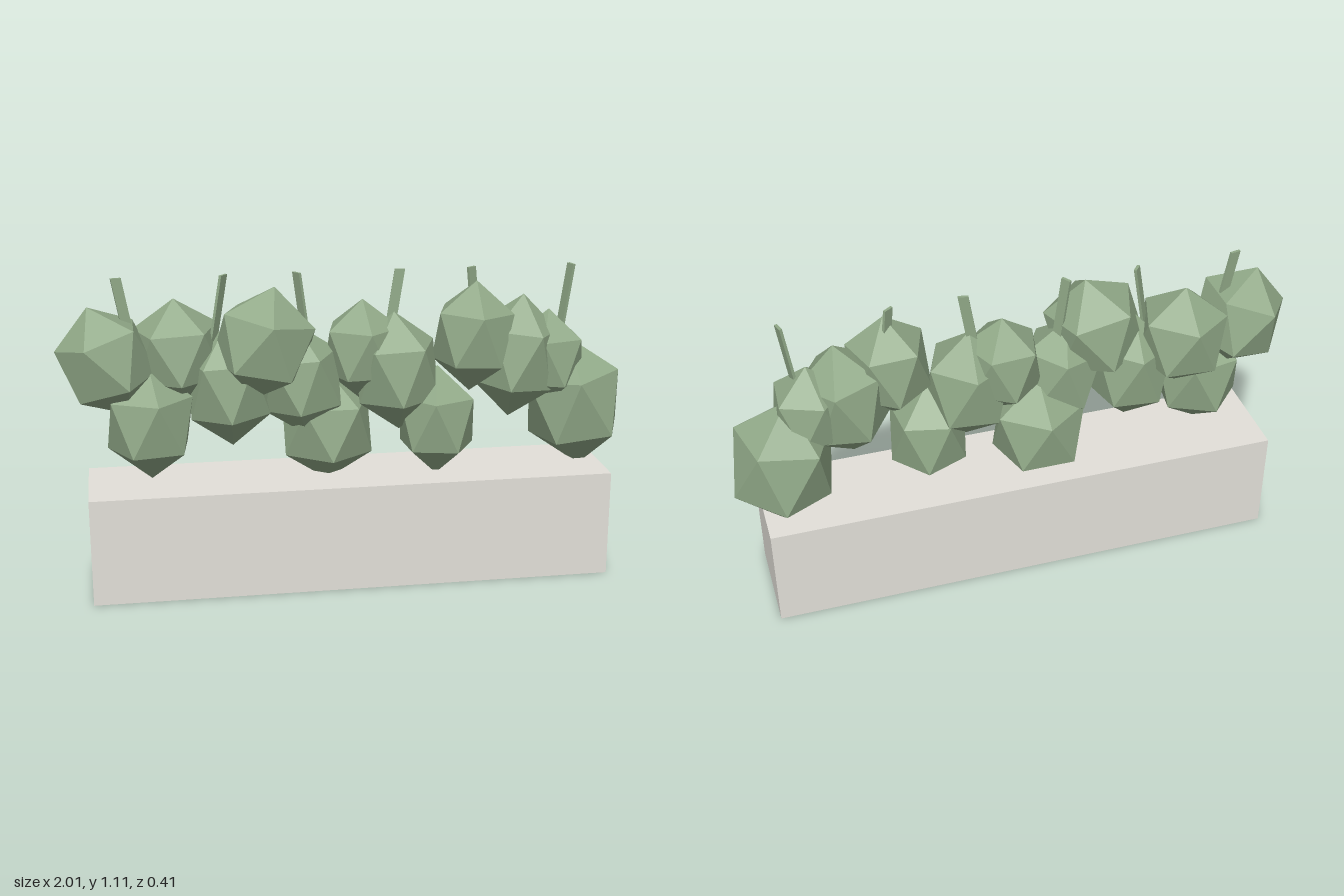
import * as THREE from 'three';

export function createModel() {
  const model = new THREE.Group();
  const stone = new THREE.MeshStandardMaterial({ color: 0xe3e0d9, flatShading: true });
  stone.name = 'planterGrey';
  const leaf = new THREE.MeshStandardMaterial({ color: 0x91a988, flatShading: true });
  leaf.name = 'foliageGreen';

  // Rectangular trough
  const trough = new THREE.Mesh(new THREE.BoxGeometry(1.83, 0.38, 0.35), stone);
  trough.name = 'planterBox';
  trough.position.set(0, 0.19, 0.003);
  model.add(trough);

  // Faceted leaf clumps: icosahedra standing on a corner
  const clump = new THREE.IcosahedronGeometry(1, 0);
  clump.rotateZ(Math.atan(2 / (1 + Math.sqrt(5))));
  const H = Math.PI / 2;
  // x, y, z, radius, half height, spin, tilt
  const clumps = [
    [-0.832, 0.825, 0.02, 0.172, 0.197, 0, 0.3],
    [-0.695, 0.605, 0.03, 0.166, 0.203, 0.5, 0],
    [-0.59, 0.83, -0.04, 0.172, 0.19, -H, 0.05],
    [-0.42, 0.71, 0.0, 0.16, 0.212, 0.9, 0.05],
    [-0.30, 0.87, 0.04, 0.185, 0.2, H, -0.2],
    [-0.17, 0.73, 0.02, 0.155, 0.202, 2.0, 0.1],
    [-0.073, 0.545, -0.035, 0.18, 0.202, -H, 0],
    [0.05, 0.82, -0.01, 0.15, 0.182, 0.4, 0],
    [0.168, 0.745, 0.01, 0.165, 0.213, 0.9, 0.05],
    [0.312, 0.562, 0.02, 0.152, 0.2, 2.6, 0],
    [0.435, 0.865, 0.03, 0.155, 0.197, H, -0.05],
    [0.60, 0.78, 0, 0.162, 0.223, -0.6, -0.1],
    [0.718, 0.765, -0.01, 0.143, 0.178, 1.2, 0],
    [0.828, 0.592, -0.033, 0.192, 0.243, 0.25, 0.13],
  ];
  const foliage = new THREE.Group();
  foliage.name = 'foliage';
  clumps.forEach(([x, y, z, r, h, spin, tilt], i) => {
    const m = new THREE.Mesh(clump, leaf);
    m.name = `leafClump${i + 1}`;
    m.position.set(x, y, z);
    m.scale.set(r, h, r);
    m.rotation.set(0, spin, tilt, 'ZYX');
    foliage.add(m);
  });
  model.add(foliage);

  // Leaning flat shoots cut level at the top: x at top, lean per unit height, turn
  const shoots = [
    [-0.79, -0.18, 0.2],
    [-0.43, 0.17, 0.9],
    [-0.18, -0.13, -1.0],
    [0.178, 0.16, -0.2],
    [0.43, -0.1, 0.6],
    [0.789, 0.14, -1.25],
  ];
  shoots.forEach(([x, lean, turn], i) => {
    const g = new THREE.BoxGeometry(0.036, 0.35, 0.01);
    g.rotateY(turn);
    g.translate(0, -0.175, 0);
    // Shear sideways so the top stays level
    g.applyMatrix4(new THREE.Matrix4().set(1, lean, 0, 0, 0, 1, 0, 0, 0, 0, 1, 0, 0, 0, 0, 1));
    const m = new THREE.Mesh(g, leaf);
    m.name = `shoot${i + 1}`;
    m.position.set(x, 1.105, 0.003);
    model.add(m);
  });
  return model;
}
